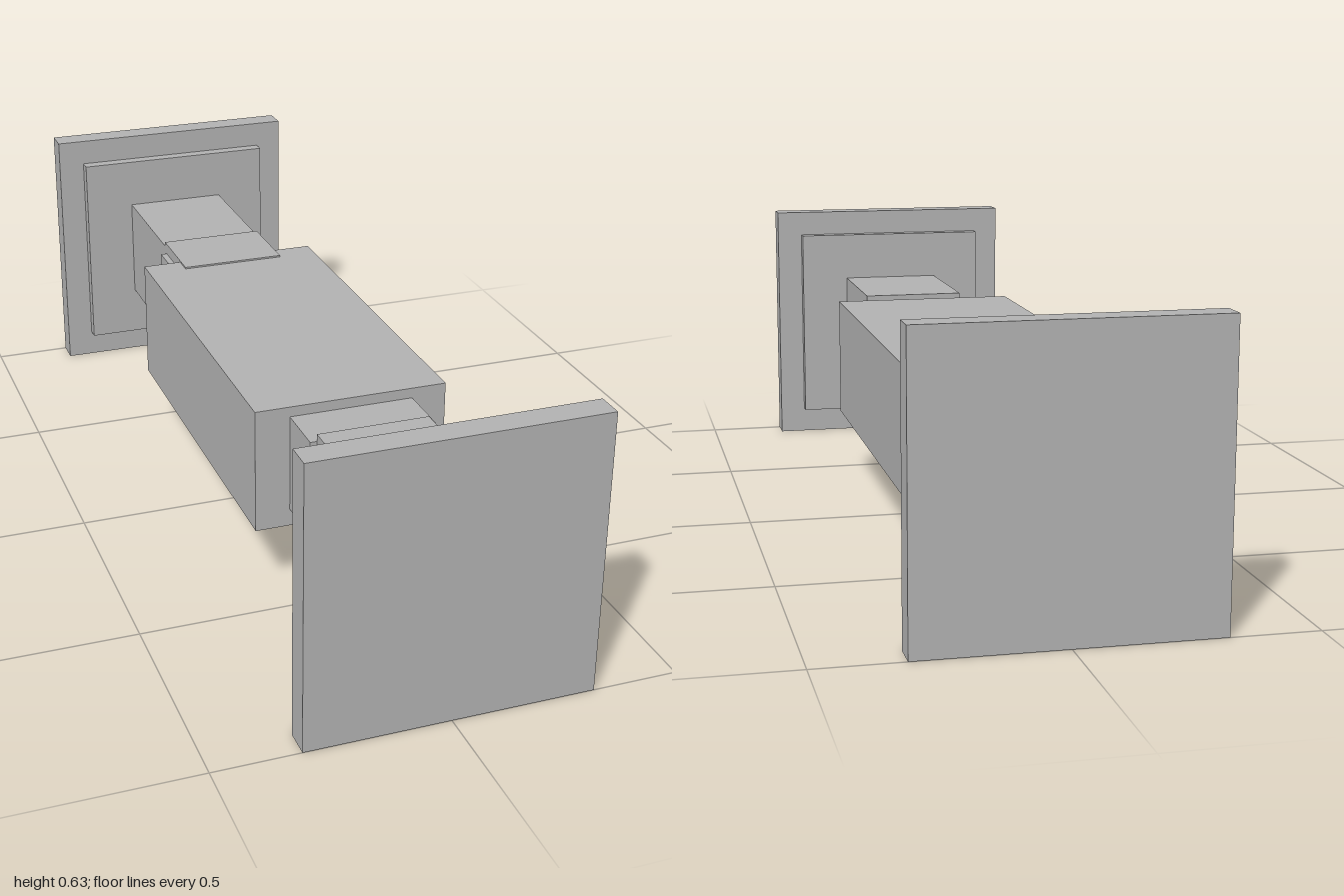
import * as THREE from 'three';

export function createModel() {
  const model = new THREE.Group();
  const grey = new THREE.MeshStandardMaterial({ color: 0xb2b2b2 });
  grey.name = 'grey';

  // Box centred on x = 0, given its width and its y and z ranges
  function block(name, width, y0, y1, z0, z1) {
    const mesh = new THREE.Mesh(new THREE.BoxGeometry(width, y1 - y0, Math.abs(z1 - z0)), grey);
    mesh.position.set(0, (y0 + y1) / 2, (z0 + z1) / 2);
    mesh.name = name;
    model.add(mesh);
  }

  // Central body
  block('body', 0.436, 0.163, 0.449, -0.437, 0.437);

  // Mirrored ends: collar, neck and stepped end plate
  for (const [side, s] of [['front', 1], ['back', -1]]) {
    block(side + 'Collar', 0.28, 0.203, 0.426, s * 0.43, s * 0.562);
    block(side + 'Neck', 0.25, 0.19, 0.442, s * 0.561, s * 0.915);
    block(side + 'InnerPlate', 0.496, 0.066, 0.564, s * 0.91, s * 0.942);
    block(side + 'EndPlate', 0.626, 0, 0.627, s * 0.94, s);
  }

  // Raised tab bridging the body and the back neck
  block('topTab', 0.25, 0.405, 0.453, -0.575, -0.388);

  return model;
}
